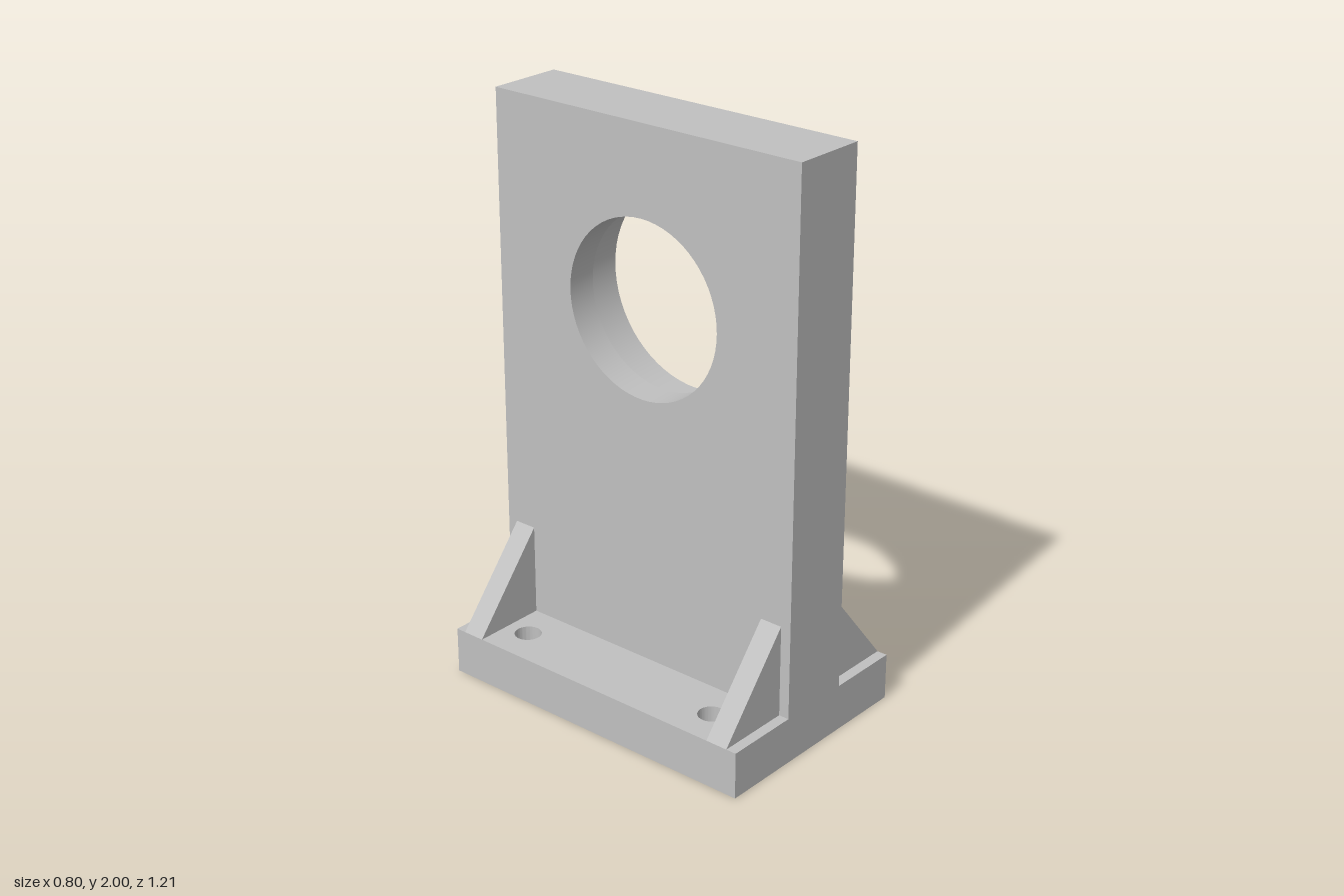
import * as THREE from 'three';
import { toCreasedNormals } from 'three/addons/utils/BufferGeometryUtils.js';

const HALF_DEPTH = 0.607, HALF_WIDTH = 0.4, BASE_TOP = 0.163;
const HALF_PLATE = 0.134, SHOULDER_X = -0.028, BORE_Y = 1.395;

// Outline from corner points, with round holes given as [x, y, radius]
function outline(points, holes = []) {
  const shape = new THREE.Shape(points.map(([x, y]) => new THREE.Vector2(x, y)));
  for (const [x, y, r] of holes) {
    shape.holes.push(new THREE.Path().absarc(x, y, r, 0, Math.PI * 2, true));
  }
  return shape;
}

const rectangle = (x0, y0, x1, y1) => [[x0, y0], [x1, y0], [x1, y1], [x0, y1]];

// Straight extrusion with smooth hole walls and sharp edges
function extrude(shape, depth) {
  const geometry = new THREE.ExtrudeGeometry(shape, { depth, bevelEnabled: false, curveSegments: 32 });
  return toCreasedNormals(geometry, 0.5);
}

export function createModel() {
  const group = new THREE.Group();
  group.name = 'bearingBracket';
  const metal = new THREE.MeshStandardMaterial({ color: 0xc0c0c0 });
  metal.name = 'grey metal';

  const add = (name, geometry) => {
    const mesh = new THREE.Mesh(geometry, metal);
    mesh.name = name;
    group.add(mesh);
    return mesh;
  };

  // Base with four through holes
  const baseHoles = [];
  for (const x of [-0.267, 0.267]) for (const z of [-0.402, 0.402]) baseHoles.push([x, z, 0.046]);
  const base = extrude(outline(rectangle(-HALF_WIDTH, -HALF_DEPTH, HALF_WIDTH, HALF_DEPTH), baseHoles), BASE_TOP);
  add('base', base.rotateX(-Math.PI / 2));

  // Upright plate in two layers: narrow bore, then counterbore with blind bolt holes
  const plate = rectangle(-HALF_DEPTH, BASE_TOP, HALF_DEPTH, 2);
  const boltHoles = [90, 210, 330].map((degrees) => {
    const a = THREE.MathUtils.degToRad(degrees);
    return [0.488 * Math.cos(a), BORE_Y + 0.488 * Math.sin(a), 0.055];
  });
  const boreLayer = extrude(outline(plate, [[0, BORE_Y, 0.301]]), SHOULDER_X + HALF_PLATE);
  add('plateBoreLayer', boreLayer.rotateY(Math.PI / 2).translate(-HALF_PLATE, 0, 0));
  const counterboreLayer = extrude(outline(plate, [[0, BORE_Y, 0.348], ...boltHoles]), HALF_PLATE - SHOULDER_X);
  add('plateCounterboreLayer', counterboreLayer.rotateY(Math.PI / 2).translate(SHOULDER_X, 0, 0));

  // Four triangular ribs, two on each side of the plate
  const rib = extrude(outline([[HALF_PLATE, BASE_TOP], [HALF_WIDTH, BASE_TOP], [HALF_PLATE, 0.483]]), 0.08);
  rib.translate(0, 0, -0.04);
  for (const side of [1, -1]) {
    for (const z of [-0.53, 0.53]) {
      const mesh = add('rib', rib);
      mesh.position.z = z;
      if (side < 0) mesh.rotation.y = Math.PI;
    }
  }
  return group;
}
